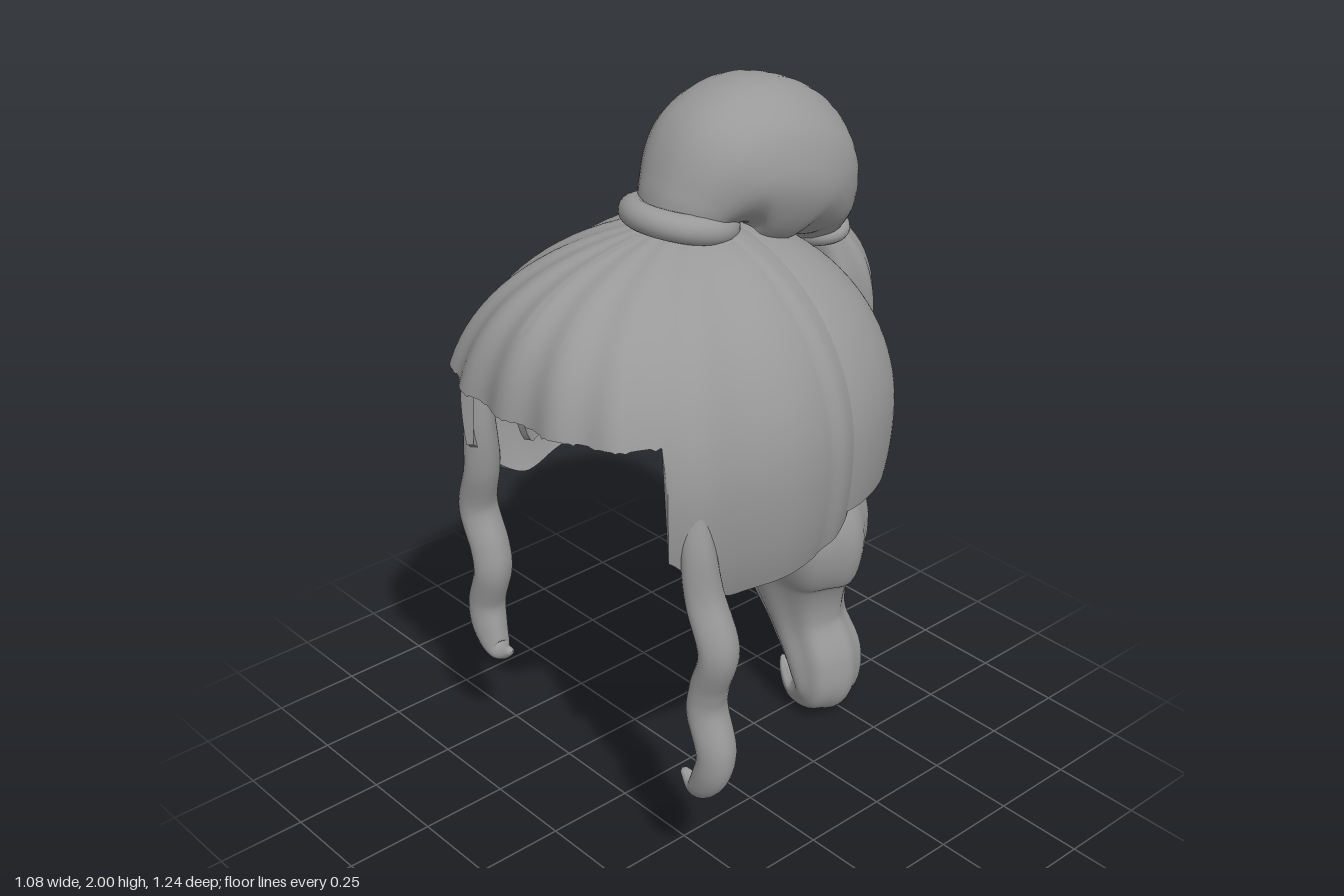
import * as THREE from 'three';
import { toCreasedNormals } from 'three/addons/utils/BufferGeometryUtils.js';

const hair = new THREE.MeshStandardMaterial({ color: 0x999999, side: THREE.DoubleSide });
hair.name = 'hairGrey';

const step = THREE.MathUtils.smoothstep;
const BROW = 1.32;

// Geometry from a grid of points: rows x cols, optionally closed along the columns
function gridGeometry(rows, closed) {
  const cols = rows[0].length, idx = [];
  for (let i = 0; i < rows.length - 1; i++) {
    for (let j = 0; j < (closed ? cols : cols - 1); j++) {
      const k = (j + 1) % cols;
      const a = i * cols + j, b = i * cols + k, c = a + cols, d = b + cols;
      idx.push(a, c, b, b, c, d);
    }
  }
  const g = new THREE.BufferGeometry().setFromPoints(rows.flat());
  g.setIndex(idx);
  g.computeVertexNormals();
  return g;
}

function addMesh(group, name, geometry) {
  const m = new THREE.Mesh(geometry, hair);
  m.name = name;
  group.add(m);
  return m;
}

// Head form: azimuth a (0 = front), polar angle p from the crown, scale s, reach front and back
function headPoint(a, p, s, front, back) {
  const r = Math.pow(Math.sin(p), p > Math.PI / 2 ? 0.5 : 1), c = Math.cos(a);
  const z = c > 0
    ? front * (0.3 * c * r + 0.7 * Math.sin(c * r * Math.PI / 2))
    : back * r * (0.6 * c + 0.4 * Math.sin(c * Math.PI / 2));
  return new THREE.Vector3(0.5 * r * Math.sin(a) * s, 1.15 + 0.52 * Math.cos(p) * s, z * s);
}

// Thick shell round the head; bottom and scale depend on the azimuth in degrees
function headShell(cols, bottom, scale, thickness, front, back) {
  const n = 32, rows = [];
  for (let i = 0; i <= 2 * n + 1; i++) {
    const outer = i <= n, v = (outer ? i : 2 * n + 1 - i) / n, row = [];
    for (let j = 0; j <= cols; j++) {
      const a = (j / cols * 2 - 1) * Math.PI, d = Math.abs(a) * 180 / Math.PI;
      const s = scale(d, v) - (outer ? 0 : thickness);
      const polar = y => Math.acos((y - 1.15) / (0.52 * s));
      const brow = polar(BROW), low = polar(bottom(d));
      const p = v < 0.6 ? 0.03 + (brow - 0.03) * v / 0.6 : brow + (low - brow) * (v - 0.6) / 0.4;
      row.push(headPoint(a, p, s, front, back));
    }
    rows.push(row);
  }
  return toCreasedNormals(gridGeometry(rows, false), 0.8);
}

// Strand swept through points [x, y, z, radius along ref, radius across], with ridges
function strand(points, ref, ridges, depth, segs = 72, sides = 40) {
  const spline = list => new THREE.CatmullRomCurve3(list, false, 'catmullrom');
  const path = spline(points.map(q => new THREE.Vector3(q[0], q[1], q[2])));
  const radii = spline(points.map(q => new THREE.Vector3(q[3], q[4], 0)));
  const rows = [];
  for (let i = 0; i <= segs; i++) {
    const t = i / segs, c = path.getPoint(t), r = radii.getPoint(t), tan = path.getTangent(t);
    const u = ref.clone().addScaledVector(tan, -ref.dot(tan)).normalize();
    const w = new THREE.Vector3().crossVectors(u, tan);
    const row = [];
    for (let j = 0; j < sides; j++) {
      const th = j / sides * Math.PI * 2;
      const k = (i === 0 || i === segs) ? 0 : 1 + depth * Math.cos(ridges * th + 1.5 * t);
      row.push(c.clone().addScaledVector(u, Math.cos(th) * r.x * k)
        .addScaledVector(w, Math.sin(th) * r.y * k));
    }
    rows.push(row);
  }
  return gridGeometry(rows, true);
}

export function createModel() {
  const model = new THREE.Group();
  model.name = 'hairpiece';
  const X = new THREE.Vector3(1, 0, 0), Z = new THREE.Vector3(0, 0, 1);

  // Smooth cap: arched opening set back behind the fringe, level edge at the nape
  addMesh(model, 'cap', headShell(144,
    d => 1.28 - 0.31 * step(d, 37, 60),
    d => 0.94 + 0.045 * step(d, 88, 108), 0.035, 0.42, 0.525));

  // Combed hair: short fringe, long sides, and a shallow back wall inside the cap
  const lower = d => {
    if (d < 54.5) return BROW + 0.006 * Math.sin(d * 2.9) * Math.cos(d * 0.54);
    if (d < 72) return 1.02 - 0.16 * step(d, 54, 72);
    return 0.86 + 0.08 * step(d, 72, 120);
  };
  const combed = (d, v) => 1.01
    + 0.014 * Math.min(1, v / 0.6) * Math.cos(d * 0.3) * (1 - step(d, 90, 110));
  addMesh(model, 'fringeAndSides', headShell(240, lower, combed, 0.03, 0.62, 0.3));

  // Topknot folding from the crown tie over to the back tie
  addMesh(model, 'topknot', strand([
    [0, 1.63, 0.04, 0.10, 0.09],
    [0, 1.72, 0.01, 0.15, 0.12],
    [0, 1.78, -0.07, 0.2, 0.185],
    [0, 1.78, -0.18, 0.225, 0.22],
    [0, 1.73, -0.3, 0.222, 0.205],
    [0, 1.63, -0.38, 0.175, 0.13],
    [0, 1.53, -0.42, 0.09, 0.07],
  ], X, 9, 0.007));

  // Hair ties
  const crownTie = addMesh(model, 'crownTie', new THREE.TorusGeometry(0.118, 0.037, 20, 56));
  crownTie.position.set(0, 1.678, 0.04);
  crownTie.rotation.x = Math.PI / 2 - 0.25;
  const backTie = addMesh(model, 'backTie', new THREE.TorusGeometry(0.062, 0.03, 20, 48));
  backTie.position.set(0, 1.545, -0.415);
  backTie.rotation.x = Math.PI / 2 + 0.1;
  backTie.scale.x = 1.4;

  // Ponytail resting on the cap, swelling below it, with a curled tip
  addMesh(model, 'ponytail', strand([
    [0, 1.58, -0.42, 0.04, 0.07],
    [0, 1.42, -0.485, 0.095, 0.135],
    [-0.01, 1.25, -0.51, 0.11, 0.145],
    [-0.01, 1.09, -0.475, 0.115, 0.135],
    [-0.01, 0.94, -0.42, 0.155, 0.122],
    [-0.025, 0.79, -0.42, 0.17, 0.145],
    [-0.01, 0.62, -0.44, 0.175, 0.2],
    [-0.035, 0.46, -0.45, 0.135, 0.18],
    [0.0, 0.3, -0.46, 0.107, 0.12],
    [0.06, 0.18, -0.47, 0.115, 0.105],
    [0.07, 0.09, -0.46, 0.1, 0.085],
    [0.0, 0.045, -0.45, 0.06, 0.045],
    [-0.06, 0.07, -0.45, 0.03, 0.026],
    [-0.09, 0.11, -0.45, 0.006, 0.006],
  ], Z, 7, 0.035, 110, 56));

  // Wavy locks beside the face
  for (const [name, s] of [['leftLock', 1], ['rightLock', -1]]) {
    addMesh(model, name, strand([
      [0.42, 1.2, 0.37, 0.02, 0.02],
      [0.435, 1.05, 0.37, 0.045, 0.04],
      [0.45, 0.91, 0.36, 0.054, 0.043],
      [0.492, 0.77, 0.35, 0.057, 0.048],
      [0.455, 0.65, 0.345, 0.057, 0.048],
      [0.446, 0.57, 0.345, 0.057, 0.048],
      [0.48, 0.46, 0.345, 0.054, 0.05],
      [0.465, 0.38, 0.35, 0.048, 0.05],
      [0.42, 0.325, 0.355, 0.033, 0.032],
      [0.36, 0.345, 0.355, 0.008, 0.008],
    ].map(([x, ...rest]) => [s * x, ...rest]), Z, 4, 0.03, 80, 28));
  }
  return model;
}
